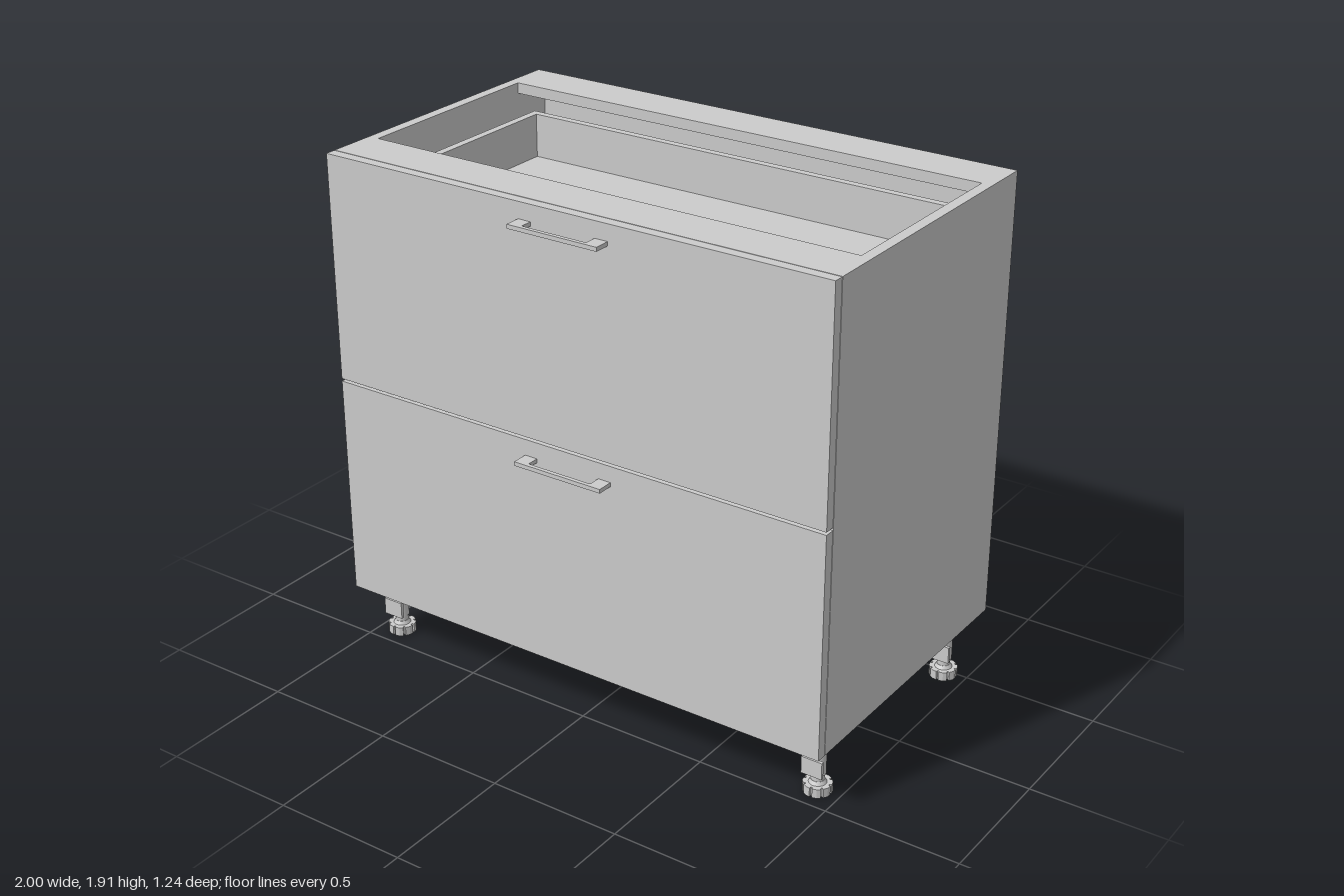
import * as THREE from 'three';

const grey = new THREE.MeshStandardMaterial({ color: 0xcccccc });

// Box given by its limits on each axis
function box(parent, name, [x0, x1], [y0, y1], [z0, z1]) {
  const mesh = new THREE.Mesh(new THREE.BoxGeometry(x1 - x0, y1 - y0, z1 - z0), grey);
  mesh.position.set((x0 + x1) / 2, (y0 + y1) / 2, (z0 + z1) / 2);
  mesh.name = name;
  parent.add(mesh);
  return mesh;
}

function cylinder(parent, name, rTop, rBottom, y0, y1, sides = 24) {
  const mesh = new THREE.Mesh(new THREE.CylinderGeometry(rTop, rBottom, y1 - y0, sides), grey);
  mesh.position.y = (y0 + y1) / 2;
  mesh.name = name;
  parent.add(mesh);
  return mesh;
}

function createCarcass() {
  const g = new THREE.Group();
  g.name = 'carcass';
  for (const s of [-1, 1]) {
    box(g, 'sidePanel', s < 0 ? [-1, -0.96] : [0.96, 1], [0.23, 1.915], [-0.6, 0.517]);
  }
  box(g, 'bottomPanel', [-0.96, 0.96], [0.23, 0.27], [-0.575, 0.517]);
  box(g, 'backPanel', [-1, 1], [0.23, 1.915], [-0.618, -0.6]);
  box(g, 'frontTopRail', [-0.96, 0.96], [1.875, 1.915], [0.34, 0.517]);
  box(g, 'backTopRail', [-0.96, 0.96], [1.875, 1.915], [-0.6, -0.44]);
  return g;
}

// Flat U-shaped pull, lying in the horizontal plane
function createHandle(y) {
  const shape = new THREE.Shape([
    [-0.18, 0], [-0.18, 0.06], [0.175, 0.06], [0.175, 0], [0.125, 0],
    [0.125, 0.045], [-0.13, 0.045], [-0.13, 0],
  ].map(([x, z]) => new THREE.Vector2(x, z)));
  const geo = new THREE.ExtrudeGeometry(shape, { depth: 0.015, bevelEnabled: false });
  geo.rotateX(Math.PI / 2);
  const mesh = new THREE.Mesh(geo, grey);
  mesh.position.set(0, y + 0.0075, 0.558);
  mesh.name = 'handle';
  return mesh;
}

// Drawer: front panel, pull, open box and its runners
function createDrawer(y0, y1) {
  const g = new THREE.Group();
  g.name = 'drawer';
  box(g, 'drawerFront', [-1, 1], [y0, y1], [0.52, 0.558]);
  g.add(createHandle(y1 - 0.067));
  const top = y1 - 0.12, floor = y1 - 0.285;
  box(g, 'drawerFloor', [-0.905, 0.905], [floor - 0.03, floor], [-0.475, 0.45]);
  box(g, 'drawerBack', [-0.905, 0.905], [floor - 0.03, top], [-0.505, -0.475]);
  box(g, 'drawerInnerFront', [-0.905, 0.905], [floor - 0.03, top], [0.45, 0.52]);
  for (const s of [-1, 1]) {
    box(g, 'drawerSide', s < 0 ? [-0.935, -0.905] : [0.905, 0.935], [floor - 0.03, top], [-0.505, 0.52]);
    box(g, 'runner', s < 0 ? [-0.96, -0.935] : [0.935, 0.96], [floor - 0.03, floor + 0.02], [-0.5, 0.5]);
  }
  return g;
}

// Adjustable leg: notched foot, stem, plinth clip and ribbed socket
function createLeg(x, z) {
  const g = new THREE.Group();
  g.name = 'leg';
  const outline = [];
  const notches = 8;
  for (let i = 0; i < notches; i++) {
    for (const [r, f] of [[0.043, 0], [0.043, 0.16], [0.051, 0.2], [0.052, 0.6], [0.051, 0.96]]) {
      const a = ((i + f) / notches) * Math.PI * 2;
      outline.push(new THREE.Vector2(r * Math.cos(a), r * Math.sin(a)));
    }
  }
  const footGeo = new THREE.ExtrudeGeometry(new THREE.Shape(outline), { depth: 0.035, bevelEnabled: false });
  footGeo.rotateX(-Math.PI / 2);
  const foot = new THREE.Mesh(footGeo, grey);
  foot.name = 'foot';
  g.add(foot);
  cylinder(g, 'footCollar', 0.025, 0.032, 0.035, 0.048);
  cylinder(g, 'stem', 0.024, 0.024, 0.04, 0.08);
  cylinder(g, 'sleeve', 0.028, 0.028, 0.07, 0.185);
  box(g, 'clipPlate', [-0.04, 0.04], [0.08, 0.145], [0.034, 0.046]);
  box(g, 'clipNeck', [-0.018, 0.018], [0.09, 0.135], [0.015, 0.036]);
  cylinder(g, 'socket', 0.047, 0.043, 0.18, 0.222);
  cylinder(g, 'flange', 0.055, 0.055, 0.22, 0.23);
  for (let i = 0; i < 4; i++) {
    const rib = box(g, 'rib', [-0.052, 0.052], [0.188, 0.222], [-0.004, 0.004]);
    rib.rotation.y = (i * Math.PI) / 4;
  }
  g.position.set(x, 0, z);
  return g;
}

export function createModel() {
  const model = new THREE.Group();
  model.name = 'drawerCabinet';
  model.add(createCarcass());
  model.add(createDrawer(1.077, 1.915), createDrawer(0.23, 1.067));
  for (const x of [-0.915, 0.915]) {
    for (const z of [0.41, -0.475]) model.add(createLeg(x, z));
  }
  return model;
}
